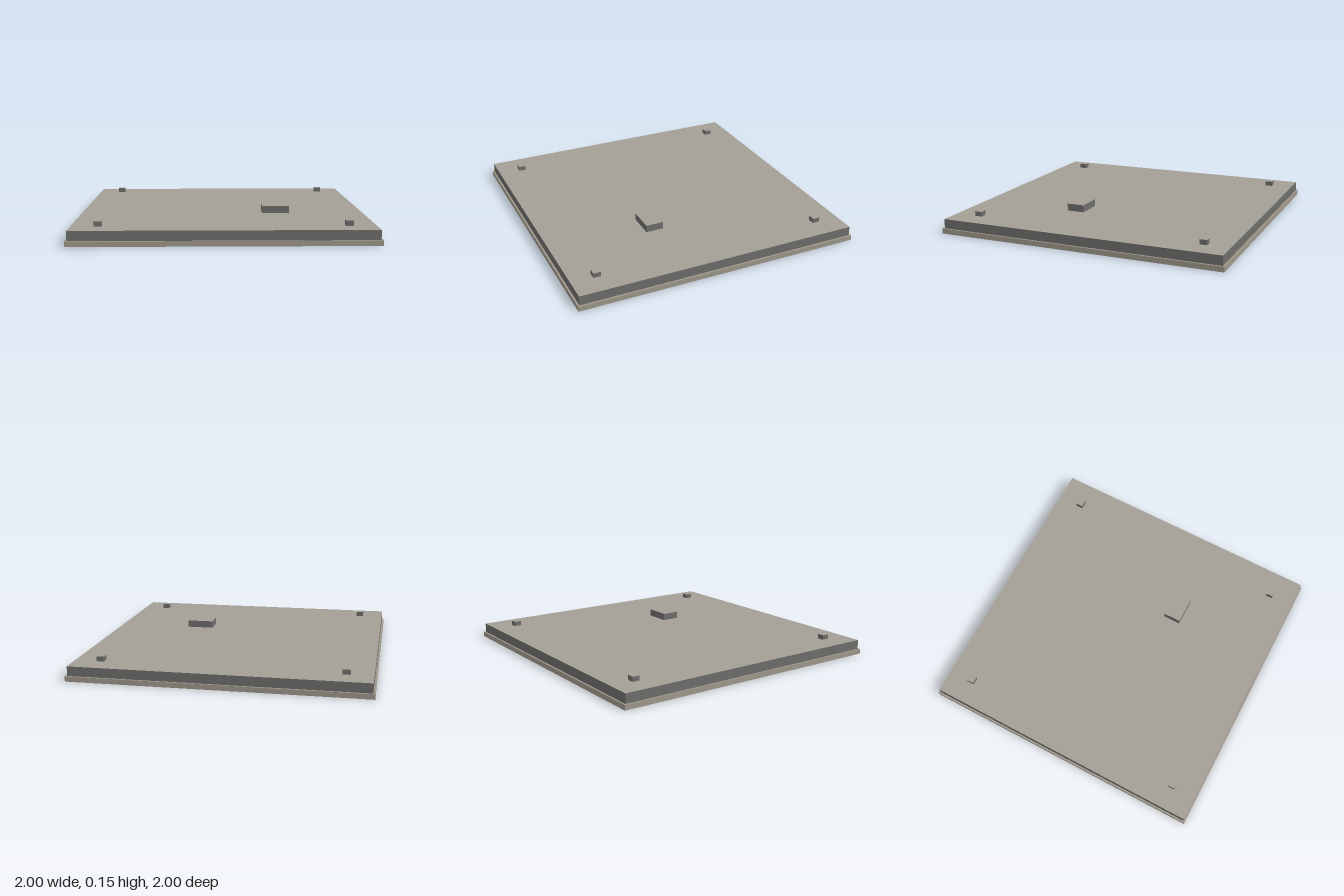
import * as THREE from 'three';

export function createModel() {
  const model = new THREE.Group();
  const mat = (name, color) => {
    const m = new THREE.MeshStandardMaterial({ color });
    m.name = name;
    return m;
  };
  const stone = mat('stone grey', 0xa39f96);
  const trim = mat('warm trim', 0x9e978a);
  const dark = mat('dark grey', 0x6d6d6a);
  const cream = mat('cream ceiling', 0xe0d6c4);

  const add = (name, geometry, material) => {
    const mesh = new THREE.Mesh(geometry, material);
    mesh.name = name;
    model.add(mesh);
    return mesh;
  };

  // Box with a pale top, dark sides and a cream underside
  const block = (name, w, d, y0, y1, x = 0, z = 0) => {
    const mesh = add(name, new THREE.BoxGeometry(w, y1 - y0, d),
      [dark, dark, stone, cream, dark, dark]);
    mesh.position.set(x, (y0 + y1) / 2, z);
  };

  // Square outline with half-width r
  const square = (Type, r) => {
    const s = new Type();
    s.moveTo(-r, -r);
    s.lineTo(r, -r);
    s.lineTo(r, r);
    s.lineTo(-r, r);
    s.closePath();
    return s;
  };

  // Base rim around a shallow recess
  const rimShape = square(THREE.Shape, 1);
  rimShape.holes.push(square(THREE.Path, 0.925));
  const rim = new THREE.ExtrudeGeometry(rimShape, { depth: 0.035, bevelEnabled: false });
  rim.rotateX(-Math.PI / 2);
  add('baseRim', rim, trim);

  // Main slab, its bottom face closes the recess
  block('slab', 1.974, 1.974, 0.02, 0.1);

  // Raised block on the deck
  block('raisedBlock', 0.188, 0.124, 0.1, 0.15, 0.374, 0.251);

  // Corner pegs
  for (const sx of [-1, 1]) {
    for (const sz of [-1, 1]) {
      block('cornerPeg', 0.05, 0.05, 0.1, 0.133, sx * 0.812, sz * 0.812);
    }
  }

  return model;
}
